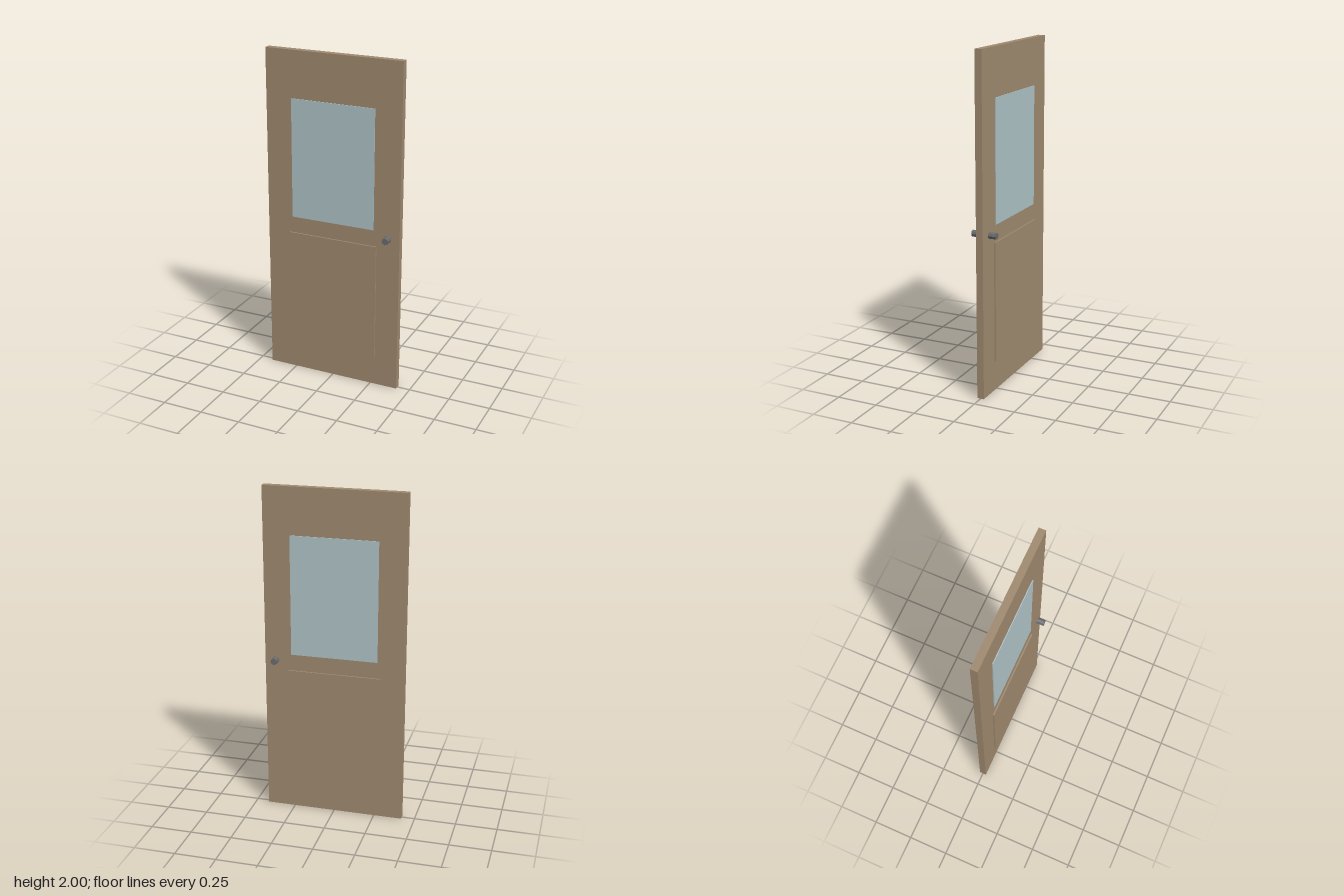
import * as THREE from 'three';

export function createModel() {
  const group = new THREE.Group();
  group.name = 'door';

  const material = (name, color) => {
    const m = new THREE.MeshStandardMaterial({ color });
    m.name = name;
    return m;
  };
  const wood = material('wood', 0xa08a6f);
  const glass = material('glass', 0xb0c4c8);
  const metal = material('metal', 0x6a6b6d);
  metal.flatShading = true;

  const add = (name, geometry, mat, x, y, z) => {
    const mesh = new THREE.Mesh(geometry, mat);
    mesh.name = name;
    mesh.position.set(x, y, z);
    group.add(mesh);
  };

  // Door leaf
  add('slab', new THREE.BoxGeometry(0.842, 2, 0.042), wood, 0, 1, 0);

  // Window pane and raised lower panel, standing proud on both faces
  add('window', new THREE.BoxGeometry(0.52, 0.72, 0.052), glass, 0, 1.36, 0);
  add('lowerPanel', new THREE.BoxGeometry(0.558, 0.72, 0.06), wood, 0, 0.54, 0);

  // Eight-sided knobs, one on each face
  const knob = new THREE.CylinderGeometry(0.02, 0.02, 0.046, 8).rotateX(Math.PI / 2);
  add('frontKnob', knob, metal, 0.353, 0.963, 0.052);
  add('backKnob', knob, metal, 0.353, 0.963, -0.052);

  return group;
}
